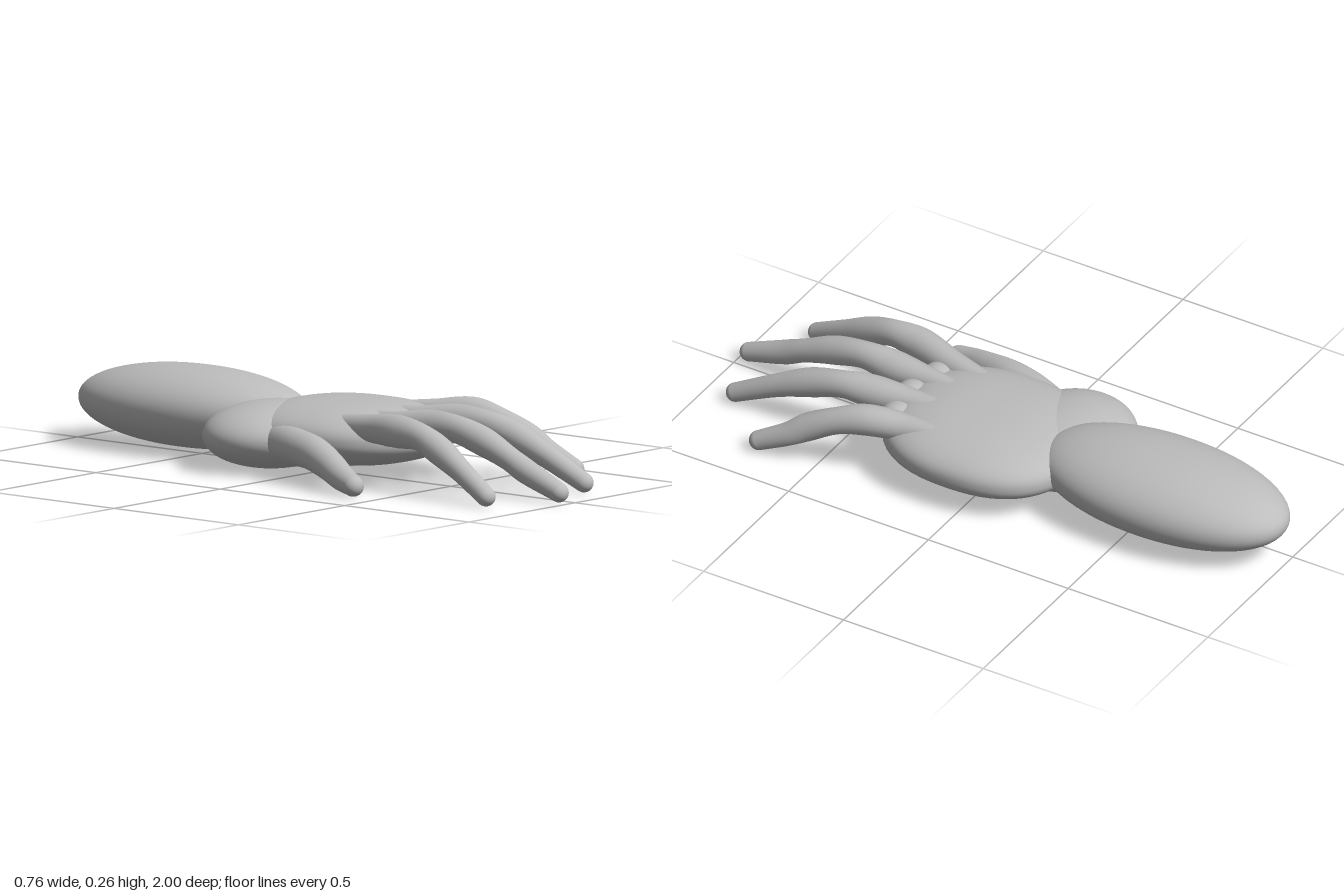
import * as THREE from 'three';

const skin = new THREE.MeshStandardMaterial({ color: 0xbcbcbc });
skin.name = 'plain grey';

// Ellipsoid; a power above 2 makes it fuller and squarer
function blob(name, centre, radii, power = 2) {
  const geo = new THREE.SphereGeometry(1, 64, 48);
  const pos = geo.attributes.position;
  const normal = geo.attributes.normal;
  const v = new THREE.Vector3();
  for (let i = 0; i < pos.count; i++) {
    v.fromBufferAttribute(pos, i);
    const sum = Math.abs(v.x) ** power + Math.abs(v.y) ** power + Math.abs(v.z) ** power;
    v.multiplyScalar(sum ** (-1 / power));
    pos.setXYZ(i, v.x, v.y, v.z);
    const n = v.toArray().map((c) => Math.sign(c) * Math.abs(c) ** (power - 1));
    v.set(n[0], n[1], n[2]).normalize();
    normal.setXYZ(i, v.x, v.y, v.z);
  }
  geo.scale(...radii);
  geo.translate(...centre);
  const mesh = new THREE.Mesh(geo, skin);
  mesh.name = name;
  return mesh;
}

// Digit swept along joints given as [x, y, z, radius], with a round tip
function digit(name, joints) {
  const group = new THREE.Group();
  group.name = name;
  const path = new THREE.CatmullRomCurve3(joints.map((j) => new THREE.Vector3(j[0], j[1], j[2])));
  const girth = new THREE.CatmullRomCurve3(
    joints.map((j) => new THREE.Vector3(j[3], 0, 0)), false, 'catmullrom', 0.5);
  const steps = 48, sides = 24;
  const geo = new THREE.TubeGeometry(path, steps, 1, sides);
  const pos = geo.attributes.position;
  const v = new THREE.Vector3();
  for (let i = 0; i <= steps; i++) {
    const centre = path.getPointAt(i / steps);
    const r = girth.getPoint(path.getUtoTmapping(i / steps)).x;
    for (let k = 0; k <= sides; k++) {
      const n = i * (sides + 1) + k;
      v.fromBufferAttribute(pos, n).sub(centre).multiplyScalar(r).add(centre);
      pos.setXYZ(n, v.x, v.y, v.z);
    }
  }
  const shaft = new THREE.Mesh(geo, skin);
  shaft.name = name + 'Shaft';
  const end = joints[joints.length - 1];
  group.add(shaft, blob(name + 'Tip', end.slice(0, 3), [end[3], end[3], end[3]]));
  return group;
}

export function createModel() {
  const hand = new THREE.Group();
  hand.name = 'hand';

  // Forearm, palm and heel of the thumb
  hand.add(
    blob('forearm', [0.05, 0.14, -0.57], [0.212, 0.125, 0.43], 2.08),
    blob('palm', [0.065, 0.128, 0.045], [0.285, 0.096, 0.325], 2.4),
    blob('thumbHeel', [-0.05, 0.108, -0.165], [0.24, 0.103, 0.205], 2.05),
  );

  // Webs between the fingers
  for (const [x, z] of [[-0.07, 0.31], [0.05, 0.33], [0.17, 0.31]]) {
    hand.add(blob('fingerWeb', [x, 0.158, z], [0.06, 0.045, 0.055]));
  }

  // Fingers and thumb
  hand.add(
    digit('indexFinger', [
      [-0.10, 0.17, 0.15, 0.035], [-0.125, 0.178, 0.29, 0.044], [-0.16, 0.186, 0.43, 0.051],
      [-0.175, 0.18, 0.53, 0.042], [-0.19, 0.148, 0.62, 0.044], [-0.21, 0.1, 0.72, 0.035],
      [-0.235, 0.036, 0.842, 0.03]]),
    digit('middleFinger', [
      [-0.005, 0.175, 0.18, 0.035], [-0.015, 0.178, 0.31, 0.042], [-0.015, 0.185, 0.43, 0.052],
      [-0.02, 0.188, 0.54, 0.043], [-0.025, 0.163, 0.65, 0.045], [-0.028, 0.12, 0.76, 0.037],
      [-0.03, 0.088, 0.83, 0.038], [-0.035, 0.037, 0.965, 0.03]]),
    digit('ringFinger', [
      [0.1, 0.175, 0.15, 0.035], [0.11, 0.178, 0.29, 0.043], [0.13, 0.185, 0.42, 0.052],
      [0.142, 0.183, 0.52, 0.043], [0.15, 0.155, 0.63, 0.046], [0.158, 0.11, 0.74, 0.037],
      [0.17, 0.036, 0.89, 0.03]]),
    digit('littleFinger', [
      [0.22, 0.175, 0.13, 0.034], [0.235, 0.178, 0.24, 0.044], [0.272, 0.186, 0.36, 0.049],
      [0.295, 0.164, 0.45, 0.042], [0.318, 0.122, 0.54, 0.044], [0.335, 0.085, 0.6, 0.037],
      [0.353, 0.037, 0.695, 0.031]]),
    digit('thumb', [
      [-0.16, 0.11, -0.06, 0.06], [-0.22, 0.11, 0.07, 0.056], [-0.255, 0.102, 0.17, 0.053],
      [-0.29, 0.08, 0.26, 0.047], [-0.325, 0.055, 0.34, 0.041], [-0.348, 0.038, 0.405, 0.033]]),
  );
  return hand;
}
